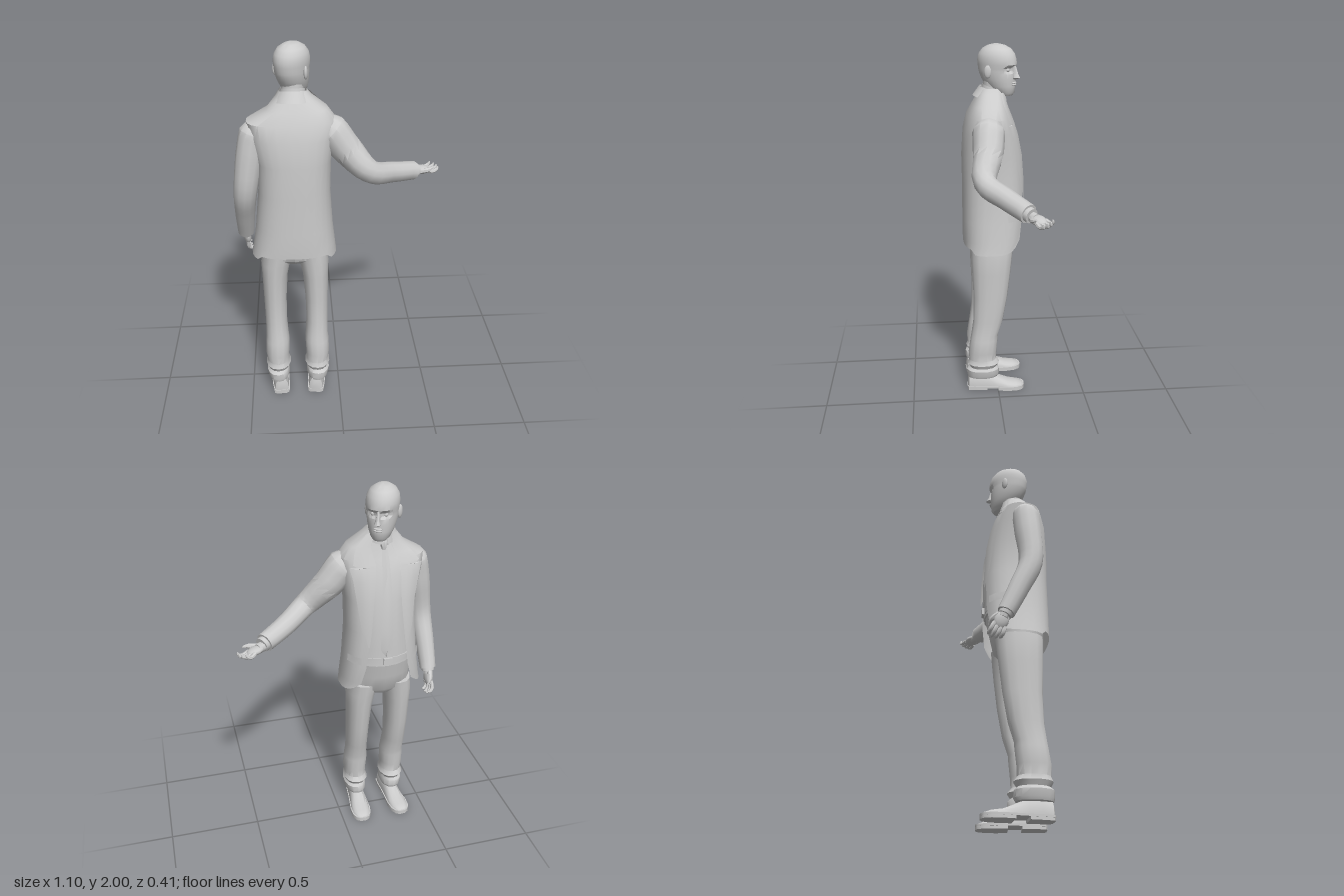
import * as THREE from 'three';
import { toCreasedNormals } from 'three/addons/utils/BufferGeometryUtils.js';

const V = (x, y, z) => new THREE.Vector3(x, y, z);
const material = new THREE.MeshStandardMaterial({ color: 0xcccccc });
const thin = new THREE.MeshStandardMaterial({ color: 0xcccccc, side: THREE.DoubleSide });
const spow = (v, p) => Math.sign(v) * Math.abs(v) ** p;

function add(parent, name, geometry, mat = material) {
  const mesh = new THREE.Mesh(geometry, mat);
  mesh.name = name;
  parent.add(mesh);
  return mesh;
}

// Skin a row of cross-sections; closed ones get end caps
function loft(rings, closed = true, crease = 0.65) {
  const n = rings[0].length, pos = [], idx = [];
  rings.forEach(r => r.forEach(p => pos.push(p.x, p.y, p.z)));
  for (let i = 0; i < rings.length - 1; i++) {
    for (let j = 0; j < (closed ? n : n - 1); j++) {
      const a = i * n + j, b = i * n + (j + 1) % n;
      idx.push(a, a + n, b, b, a + n, b + n);
    }
  }
  if (closed) [0, rings.length - 1].forEach(i => {
    const c = rings[i].reduce((s, p) => s.add(p), V(0, 0, 0)).divideScalar(n);
    const k = pos.length / 3;
    pos.push(c.x, c.y, c.z);
    for (let j = 0; j < n; j++) {
      const a = i * n + j, b = i * n + (j + 1) % n;
      if (i === 0) idx.push(k, a, b); else idx.push(k, b, a);
    }
  });
  const g = new THREE.BufferGeometry();
  g.setAttribute('position', new THREE.Float32BufferAttribute(pos, 3));
  g.setIndex(idx);
  return toCreasedNormals(g, crease);
}

// Horizontal oval: y, centre x, half width, back z, front z
function oval([y, cx, rx, zb, zf], n = 18, p = 1) {
  return Array.from({ length: n }, (_, j) => {
    const a = j / n * Math.PI * 2;
    return V(cx + rx * spow(Math.sin(a), p), y, (zb + zf) / 2 - (zb - zf) / 2 * spow(Math.cos(a), p));
  });
}
const ovals = (rows, n, p) => loft(rows.map(r => oval(r, n, p)));

// Tapered round limb along a curve; points are x, y, z, radius
function limb(points, steps = 12, sides = 12, ref = V(0, 0, 1)) {
  const curve = new THREE.CatmullRomCurve3(points.map(p => V(p[0], p[1], p[2])), false, 'centripetal');
  const rings = [];
  for (let i = 0; i <= steps; i++) {
    const t = i / steps, f = t * (points.length - 1), k = Math.min(Math.floor(f), points.length - 2);
    const r = THREE.MathUtils.lerp(points[k][3], points[k + 1][3], f - k);
    const c = curve.getPoint(t), T = curve.getTangent(t);
    const e1 = ref.clone().cross(T).normalize(), e2 = T.clone().cross(e1);
    rings.push(Array.from({ length: sides }, (_, j) => {
      const a = j / sides * Math.PI * 2;
      return c.clone().addScaledVector(e1, r * Math.sin(a)).addScaledVector(e2, r * Math.cos(a));
    }));
  }
  return loft(rings);
}

// Jacket rows: y, centre x, half width, back z, front z, half opening
const JACKET = [
  [0.885, -0.235, 0.225, 0.188, -0.135, 0.175], [0.95, -0.232, 0.215, 0.19, -0.145, 0.14],
  [1.05, -0.23, 0.202, 0.19, -0.15, 0.115], [1.25, -0.225, 0.186, 0.188, -0.148, 0.09],
  [1.42, -0.222, 0.188, 0.19, -0.132, 0.075], [1.55, -0.228, 0.212, 0.18, -0.105, 0.068],
  [1.63, -0.23, 0.222, 0.158, -0.075, 0.064], [1.69, -0.2, 0.15, 0.13, -0.05, 0.058],
  [1.75, -0.215, 0.085, 0.095, -0.04, 0.048], [1.775, -0.218, 0.068, 0.08, -0.035, 0.044],
];
const POWER = 0.78;
function jacketRow(y) {
  const k = Math.max(0, Math.min(JACKET.length - 2, JACKET.findIndex(r => r[0] > y) - 1));
  const f = (y - JACKET[k][0]) / (JACKET[k + 1][0] - JACKET[k][0]);
  return JACKET[k].map((v, i) => THREE.MathUtils.lerp(v, JACKET[k + 1][i], f));
}
const angleAt = (d, rx) => Math.asin(Math.min(1, (d / rx) ** (1 / POWER)));
function jacketPoint([y, cx, rx, zb, zf], a, off = 0) {
  return V(cx + (rx + off) * spow(Math.sin(a), POWER), y,
    (zb + zf) / 2 - ((zb - zf) / 2 + off) * spow(Math.cos(a), POWER));
}

// Hand along local +x, palm up
function hand(name, thumbSide) {
  const g = new THREE.Group();
  g.name = name;
  add(g, 'palm', new THREE.SphereGeometry(1, 12, 8).scale(0.052, 0.02, 0.037)).position.set(0.045, 0, 0);
  add(g, 'wrist', limb([[-0.04, 0, 0, 0.026], [0.03, 0, 0, 0.026]], 2, 10));
  for (let i = 0; i < 4; i++) {
    const z = thumbSide * (0.027 - i * 0.018), len = [0.05, 0.056, 0.052, 0.04][i];
    add(g, 'finger', limb([[0.07, 0, z, 0.011], [0.08 + len * 0.5, -0.005, z * 1.15, 0.0105],
      [0.08 + len * 0.95, 0.008, z * 1.15, 0.009], [0.08 + len, 0.022, z * 1.1, 0.004]], 6, 7));
  }
  add(g, 'thumb', limb([[0.02, 0.004, thumbSide * 0.022, 0.015], [0.055, 0.018, thumbSide * 0.042, 0.013],
    [0.088, 0.03, thumbSide * 0.04, 0.005]], 6, 7, V(0, 1, 0)));
  return g;
}

function makeHead() {
  const g = new THREE.Group();
  g.name = 'head';
  const rows = [[1.735, 0.032, -0.03, -0.088], [1.75, 0.048, 0.02, -0.1], [1.785, 0.064, 0.06, -0.104],
    [1.82, 0.073, 0.083, -0.104], [1.85, 0.078, 0.096, -0.104], [1.864, 0.079, 0.1, -0.104],
    [1.878, 0.08, 0.102, -0.105], [1.896, 0.082, 0.105, -0.113], [1.92, 0.083, 0.106, -0.11],
    [1.95, 0.078, 0.098, -0.1], [1.975, 0.062, 0.078, -0.08], [1.992, 0.036, 0.048, -0.048], [2, 0.008, 0.012, -0.012]];
  const rings = rows.map(([y, rx, zb, zf]) => oval([y, 0, rx, zb, zf], 28));
  // Eye sockets
  rings.flat().forEach(p => {
    if (Math.abs(p.y - 1.871) < 0.01 && p.z < -0.04 && Math.abs(p.x) > 0.012 && Math.abs(p.x) < 0.06) p.z += 0.012;
  });
  add(g, 'skull', loft(rings));
  add(g, 'nose', ovals([[1.822, 0, 0.012, -0.085, -0.118], [1.83, 0, 0.018, -0.085, -0.136],
    [1.85, 0, 0.011, -0.085, -0.125], [1.89, 0, 0.008, -0.085, -0.112]], 8));
  for (const y of [1.792, 1.802])
    add(g, 'lip', new THREE.SphereGeometry(1, 10, 6).scale(0.024, 0.006, 0.012)).position.set(0, y, -0.1);
  for (const s of [-1, 1]) {
    add(g, 'eye', new THREE.SphereGeometry(0.011, 10, 8)).position.set(s * 0.032, 1.87, -0.078);
    const ear = add(g, 'ear', new THREE.SphereGeometry(1, 10, 8).scale(0.01, 0.034, 0.02));
    ear.position.set(s * 0.083, 1.862, 0.012);
    ear.rotation.y = s * 0.35;
  }
  g.position.set(-0.22, 0, -0.005);
  g.rotation.y = -0.52;
  return g;
}

// Shoe with toe toward -z
function makeShoe() {
  const g = new THREE.Group();
  g.name = 'shoe';
  const profile = [[0.178, 0.025, 0.07], [0.17, 0.04, 0.1], [0.12, 0.045, 0.11], [0.06, 0.046, 0.105], [0.0, 0.05, 0.075],
    [-0.06, 0.055, 0.05], [-0.11, 0.05, 0.042], [-0.14, 0.034, 0.032], [-0.152, 0.012, 0.02]];
  const section = (z, w, top, bottom) => Array.from({ length: 14 }, (_, j) => {
    const a = j / 14 * Math.PI * 2;
    return V(w * spow(Math.sin(a), 0.8), bottom + (top - bottom) * Math.max(0, -Math.cos(a)), z);
  });
  add(g, 'upper', loft(profile.map(([z, w, h]) => section(z, w, h, 0.016))));
  const slab = (name, rows, y0, y1) => add(g, name, loft(rows.map(([z, w]) =>
    [V(-w, y0, z), V(-w, y1, z), V(w, y1, z), V(w, y0, z)].reverse())));
  slab('sole', profile.map(([z, w]) => [z < 0 ? z - 0.004 : z + 0.003, w + 0.004]), 0.014, 0.024);
  slab('frontSole', profile.slice(4).map(([z, w]) => [z - 0.004, w + 0.003]), 0, 0.015);
  slab('heel', profile.slice(0, 4).map(([z, w]) => [z + 0.002, w + 0.002]), 0, 0.016);
  return g;
}

export function createModel() {
  const model = new THREE.Group();
  model.name = 'standingMan';
  model.add(makeHead());
  add(model, 'neck', limb([[-0.22, 1.66, 0.03, 0.064], [-0.22, 1.74, 0.015, 0.056], [-0.22, 1.82, 0.01, 0.056]], 4, 14));

  // Shirt, belt and tie
  add(model, 'shirt', ovals([1.05, 1.15, 1.25, 1.42, 1.55, 1.63, 1.69, 1.74].map(y => {
    const [, cx, rx, zb, zf] = jacketRow(y);
    return [y, cx, rx - 0.018, zb - 0.015, zf + 0.014];
  }), 20));
  add(model, 'belt', ovals([[1.065, -0.23, 0.184, 0.172, -0.14], [1.1, -0.23, 0.184, 0.172, -0.14]], 20));
  add(model, 'buckle', new THREE.BoxGeometry(0.045, 0.036, 0.012)).position.set(-0.23, 1.083, -0.142);
  add(model, 'tie', loft([[1.11, 0.004], [1.15, 0.033], [1.25, 0.032], [1.42, 0.027], [1.55, 0.022], [1.63, 0.019], [1.69, 0.014]]
    .map(([y, w]) => {
      const z = jacketRow(y)[4] + 0.006;
      return [V(-0.224 - w, y, z + 0.008), V(-0.224, y, z), V(-0.224 + w, y, z + 0.008)];
    }), false), thin);
  add(model, 'tieKnot', ovals([[1.675, -0.22, 0.012, -0.02, -0.054], [1.712, -0.22, 0.021, -0.01, -0.056], [1.722, -0.22, 0.016, -0.01, -0.05]], 8));

  // Open jacket
  const jacketRings = JACKET.map(r => {
    const a0 = angleAt(r[5], r[2]);
    return Array.from({ length: 25 }, (_, j) => jacketPoint(r, a0 + (Math.PI * 2 - 2 * a0) * j / 24));
  });
  jacketRings[0].forEach((p, j) => { p.y += 0.03 * Math.abs(j / 12 - 1) ** 8 + (j > 7 && j < 17 ? 0.025 : 0); });
  add(model, 'jacket', loft(jacketRings, false), thin);

  // Notched lapels lie just above the jacket front
  const widths = [[1.18, 0.008], [1.27, 0.045], [1.42, 0.075], [1.53, 0.1], [1.595, 0.12], [1.6, 0.08], [1.612, 0.105], [1.66, 0.085], [1.7, 0.06], [1.755, 0.028]];
  for (const s of [-1, 1]) {
    add(model, 'lapel', loft(widths.map(([y, w]) => {
      const r = jacketRow(y);
      return [0, 0.25, 0.5, 0.75, 1].map(t => jacketPoint(r, s * angleAt(r[5] - 0.004 + w * t, r[2]), 0.009));
    }), false), thin);
    // Breast and hip details
    const r = jacketRow(1.1);
    const flap = [1.07, 1.11].map(y => [0, 0.5, 1].map(t => jacketPoint(jacketRow(y), s * angleAt(0.135 + 0.055 * t, r[2]), 0.005)));
    add(model, 'pocketFlap', loft(flap, false), thin);
  }
  const collar = (name, rows, gap) => add(model, name, loft(rows.map(([y, r, dz]) =>
    Array.from({ length: 17 }, (_, j) => {
      const a = gap + (Math.PI * 2 - 2 * gap) * j / 16;
      return V(-0.219 + r * Math.sin(a), y + 0.02 * -Math.cos(a), dz - r * Math.cos(a));
    })), false), thin);
  collar('jacketCollar', [[1.715, 0.1, 0.025], [1.765, 0.07, 0.018], [1.74, 0.064, 0.018]], 0.75);
  collar('shirtCollar', [[1.725, 0.071, 0.012], [1.775, 0.06, 0.012], [1.74, 0.057, 0.012]], 0.22);

  // Trousers
  add(model, 'hips', ovals([[0.835, -0.235, 0.1, 0.11, -0.06], [0.87, -0.235, 0.168, 0.148, -0.088],
    [0.96, -0.233, 0.177, 0.165, -0.108], [1.07, -0.23, 0.18, 0.168, -0.132]], 20));
  const legRows = [[0.085, 0, 0.055, 0.178, 0.0], [0.1, 0, 0.062, 0.182, -0.008], [0.135, 0.003, 0.064, 0.182, -0.005],
    [0.15, 0, 0.058, 0.165, 0.008], [0.175, 0, 0.07, 0.178, -0.008], [0.2, 0, 0.06, 0.168, 0.01], [0.25, 0.003, 0.066, 0.172, 0.008],
    [0.33, 0, 0.067, 0.16, 0.0], [0.36, 0, 0.063, 0.155, -0.002], [0.45, 0.003, 0.06, 0.142, -0.03],
    [0.6, 0.003, 0.063, 0.138, -0.056], [0.75, -0.001, 0.07, 0.144, -0.074], [0.83, -0.008, 0.08, 0.147, -0.083], [0.9, -0.02, 0.085, 0.15, -0.09]];
  for (const s of [-1, 1]) {
    const leg = new THREE.Group();
    leg.name = 'leg';
    leg.position.x = -0.235 + s * 0.111;
    add(leg, 'trouserLeg', ovals(legRows.map(([y, dx, ...rest]) => [y, s * dx, ...rest]), 14, 0.9));
    const shoe = makeShoe();
    shoe.rotation.y = -s * 0.08;
    leg.add(shoe);
    model.add(leg);
  }

  // Arm reaching out, palm up
  const reach = new THREE.Group();
  reach.name = 'extendedArm';
  add(reach, 'sleeve', limb([[-0.085, 1.605, 0.05, 0.055], [-0.035, 1.57, 0.052, 0.086], [0.04, 1.475, 0.06, 0.08],
    [0.16, 1.355, 0.085, 0.06], [0.28, 1.305, -0.01, 0.055], [0.41, 1.268, -0.105, 0.05]], 20, 12, V(0, 1, 0)));
  add(reach, 'shirtCuff', limb([[0.4, 1.27, -0.097, 0.04], [0.428, 1.263, -0.118, 0.038]], 2));
  const openHand = hand('openHand', 1);
  openHand.position.set(0.425, 1.258, -0.122);
  openHand.rotation.set(0.15, 0.52, -0.1, 'YZX');
  reach.add(openHand);
  model.add(reach);

  // Arm hanging at the side
  const rest = new THREE.Group();
  rest.name = 'loweredArm';
  add(rest, 'sleeve', limb([[-0.395, 1.615, 0.05, 0.04], [-0.418, 1.57, 0.055, 0.07], [-0.445, 1.44, 0.065, 0.07],
    [-0.475, 1.25, 0.07, 0.06], [-0.488, 1.1, 0.01, 0.052], [-0.494, 0.955, -0.055, 0.044]], 20));
  add(rest, 'shirtCuff', limb([[-0.494, 0.965, -0.05, 0.036], [-0.494, 0.94, -0.062, 0.034]], 2));
  const hung = hand('relaxedHand', -1);
  const x = V(0.06, -0.9, -0.36).normalize(), z = x.clone().cross(V(1, 0, -0.25)).normalize();
  hung.quaternion.setFromRotationMatrix(new THREE.Matrix4().makeBasis(x, z.clone().cross(x), z));
  hung.position.set(-0.494, 0.955, -0.06);
  rest.add(hung);
  model.add(rest);
  return model;
}
